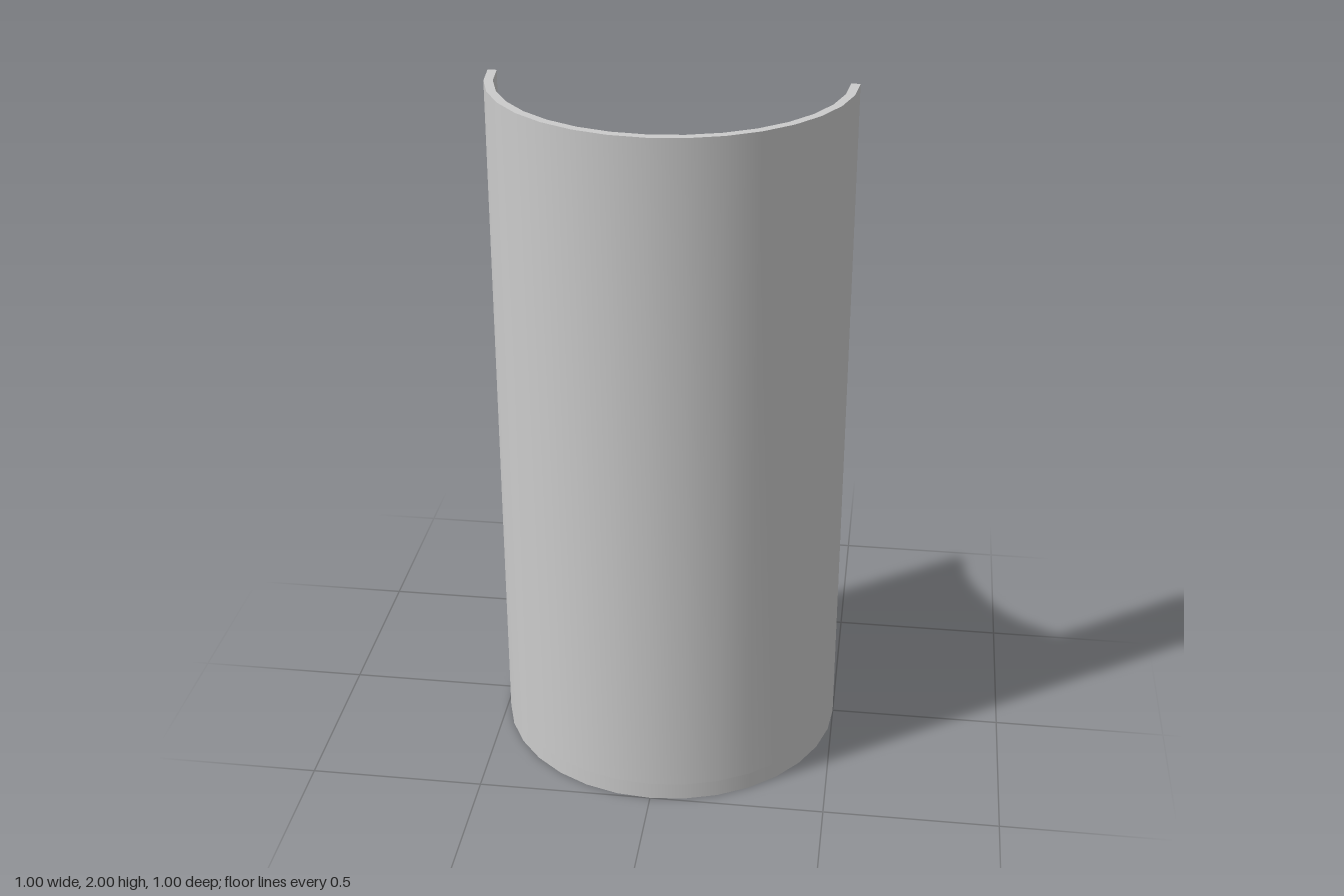
import * as THREE from 'three';
import { toCreasedNormals } from 'three/addons/utils/BufferGeometryUtils.js';

const RADIUS = 0.5, INNER = 0.475, HEIGHT = 2, BASE = 0.05, SEGMENTS = 32;

export function createModel() {
  const group = new THREE.Group();
  const material = new THREE.MeshStandardMaterial({ color: 0xcccccc });
  const add = (name, geometry, x = 0, y = 0, z = 0) => {
    const mesh = new THREE.Mesh(geometry, material);
    mesh.name = name;
    mesh.position.set(x, y, z);
    group.add(mesh);
    return mesh;
  };

  // Round base plate
  add('basePlate', new THREE.CylinderGeometry(RADIUS, RADIUS, BASE, SEGMENTS), 0, BASE / 2, 0);

  // Half-round wall standing on the front half of the plate
  const profile = [
    [RADIUS, BASE], [RADIUS, HEIGHT], [INNER, HEIGHT], [INNER, BASE], [RADIUS, BASE],
  ].map(([r, y]) => new THREE.Vector2(r, y));
  const wall = new THREE.LatheGeometry(profile, SEGMENTS / 2, -Math.PI / 2, Math.PI);
  add('halfRoundWall', toCreasedNormals(wall, 0.5));

  // Flat ends of the wall, facing the back
  for (const [name, side] of [['leftWallEnd', 1], ['rightWallEnd', -1]]) {
    const end = add(name, new THREE.PlaneGeometry(RADIUS - INNER, HEIGHT - BASE),
      side * (RADIUS + INNER) / 2, (HEIGHT + BASE) / 2, 0);
    end.rotation.y = Math.PI;
  }
  return group;
}
